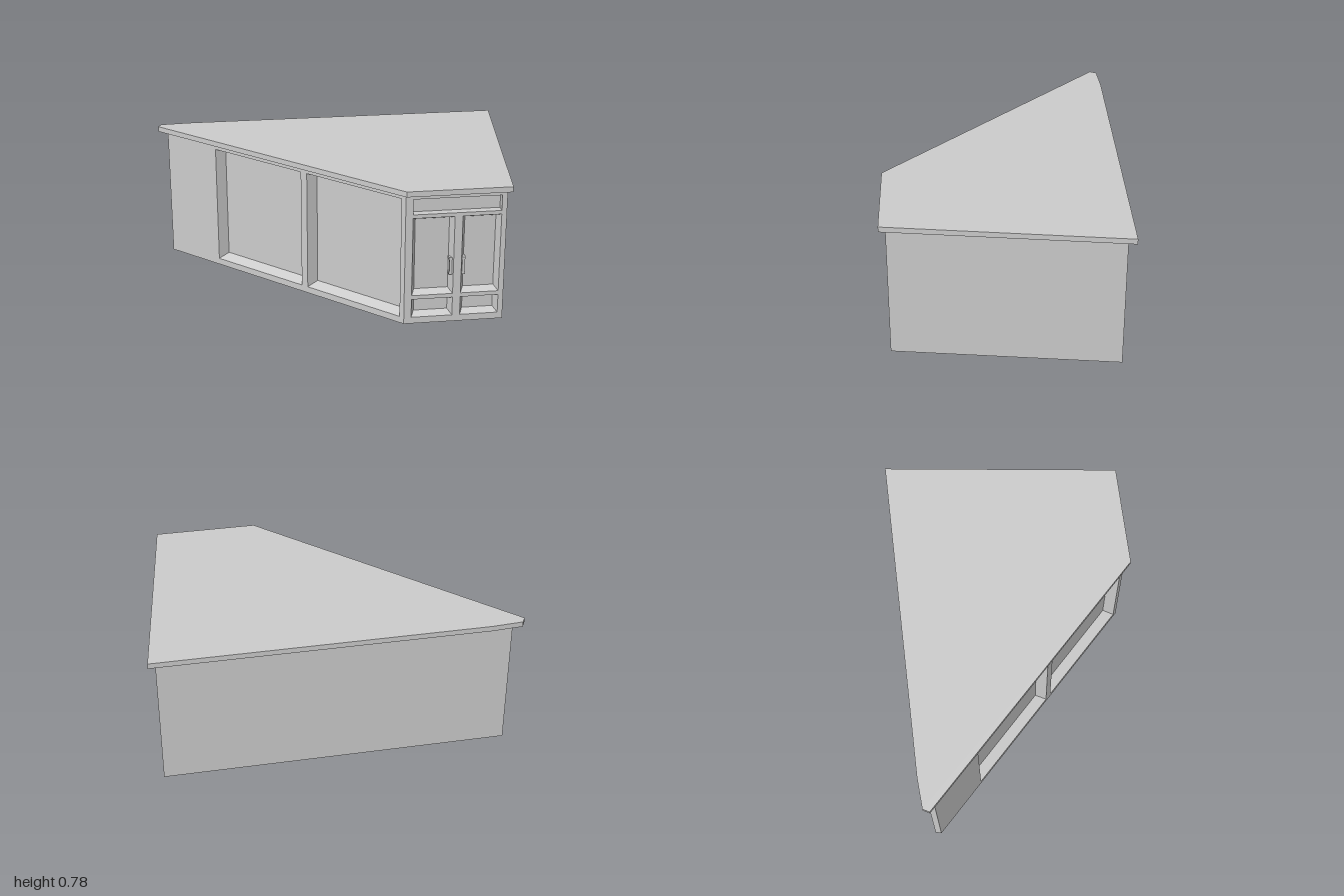
import * as THREE from 'three';

const WALL_H = 0.75, TOP_H = 0.78;

const material = new THREE.MeshStandardMaterial({ color: 0xcccccc, side: THREE.DoubleSide, flatShading: true });

function addMesh(parent, geometry, name) {
  const mesh = new THREE.Mesh(geometry, material);
  mesh.name = name;
  parent.add(mesh);
  return mesh;
}

const rect = (x0, y0, x1, y1) => [[x0, y0], [x1, y0], [x1, y1], [x0, y1]];
const toPoints = (list) => list.map(([x, y]) => new THREE.Vector2(x, y));

// Tray behind an opening: four bevelled sides and a smaller back panel
function recessGeometry({ x0, y0, x1, y1, inset, depth }) {
  const outer = rect(x0, y0, x1, y1).map((p) => [...p, 0]);
  const inner = rect(x0 + inset, y0 + inset, x1 - inset, y1 - inset).map((p) => [...p, -depth]);
  const positions = [];
  const quad = (a, b, c, d) => positions.push(...a, ...b, ...c, ...a, ...c, ...d);
  for (let i = 0; i < 4; i++) {
    const j = (i + 1) % 4;
    quad(outer[i], outer[j], inner[j], inner[i]);
  }
  quad(...inner);
  const geometry = new THREE.BufferGeometry();
  geometry.setAttribute('position', new THREE.Float32BufferAttribute(positions, 3));
  geometry.computeVertexNormals();
  return geometry;
}

// Upright wall between two floor points (left to right seen from outside), with recessed openings
function makeWall(name, [ax, az], [bx, bz], openings = []) {
  const wall = new THREE.Group();
  wall.name = name;
  const length = Math.hypot(bx - ax, bz - az);
  const shape = new THREE.Shape(toPoints(rect(0, 0, length, WALL_H)));
  for (const o of openings) {
    shape.holes.push(new THREE.Path(toPoints(rect(o.x0, o.y0, o.x1, o.y1).reverse())));
    addMesh(wall, recessGeometry(o), o.name);
  }
  addMesh(wall, new THREE.ShapeGeometry(shape), name + 'Face');
  wall.position.set(ax, 0, az);
  wall.rotation.y = Math.atan2(-(bz - az), bx - ax);
  return wall;
}

// Upright bar pull on two short posts
function makeHandle(x, y, z) {
  const handle = new THREE.Group();
  handle.name = 'doorHandle';
  addMesh(handle, new THREE.BoxGeometry(0.014, 0.075, 0.01), 'handleBar').position.z = 0.03;
  for (const side of [-1, 1]) {
    addMesh(handle, new THREE.BoxGeometry(0.02, 0.014, 0.035), 'handlePost').position.set(0, side * 0.043, 0.0175);
  }
  handle.position.set(x, y, z);
  return handle;
}

export function createModel() {
  const model = new THREE.Group();
  model.name = 'cornerCounter';

  // Floor corners of the cabinet, seen from outside left to right
  const endBack = [-0.935, -0.607], endFront = [-0.945, -0.575];
  const frontLeft = [0.265, 0.61], frontRight = [0.81, 0.61], backRight = [0.96, -0.607];

  // Long slanted side with two large panels
  const slantLength = Math.hypot(frontLeft[0] - endFront[0], frontLeft[1] - endFront[1]);
  const along = (x) => ((x - endFront[0]) / (frontLeft[0] - endFront[0])) * slantLength;
  const slantOpenings = [[-0.68, -0.235], [-0.205, 0.245]].map(([a, b]) => ({
    name: 'slantedPanel', x0: along(a), x1: along(b), y0: 0.037, y1: 0.722, inset: 0.025, depth: 0.06,
  }));
  model.add(makeWall('slantedSide', endFront, frontLeft, slantOpenings));

  // Front with a drawer, two doors and two low panels
  const depth = 0.045;
  const frontOpenings = [{ name: 'drawer', x0: 0.04, x1: 0.517, y0: 0.635, y1: 0.722, inset: 0, depth }];
  for (const [x0, x1] of [[0.04, 0.265], [0.308, 0.517]]) {
    frontOpenings.push({ name: 'door', x0, x1, y0: 0.166, y1: 0.614, inset: 0.02, depth });
    frontOpenings.push({ name: 'lowPanel', x0, x1, y0: 0.037, y1: 0.143, inset: 0.02, depth });
  }
  const front = makeWall('front', frontLeft, frontRight, frontOpenings);
  for (const x of [0.252, 0.322]) front.add(makeHandle(x, 0.323, -depth));
  model.add(front);

  // Plain walls
  model.add(makeWall('rightSide', frontRight, backRight));
  model.add(makeWall('back', backRight, endBack));
  model.add(makeWall('narrowEnd', endBack, endFront));

  // Overhanging countertop
  const outline = [[-1, -0.6], [-0.98, -0.636], [-0.81, -0.647], [1, -0.647], [0.83, 0.645], [0.262, 0.645]];
  const topShape = new THREE.Shape(toPoints(outline.map(([x, z]) => [x, -z])));
  const topGeometry = new THREE.ExtrudeGeometry(topShape, { depth: TOP_H - WALL_H, bevelEnabled: false });
  topGeometry.rotateX(-Math.PI / 2);
  addMesh(model, topGeometry, 'countertop').position.y = WALL_H;

  return model;
}
